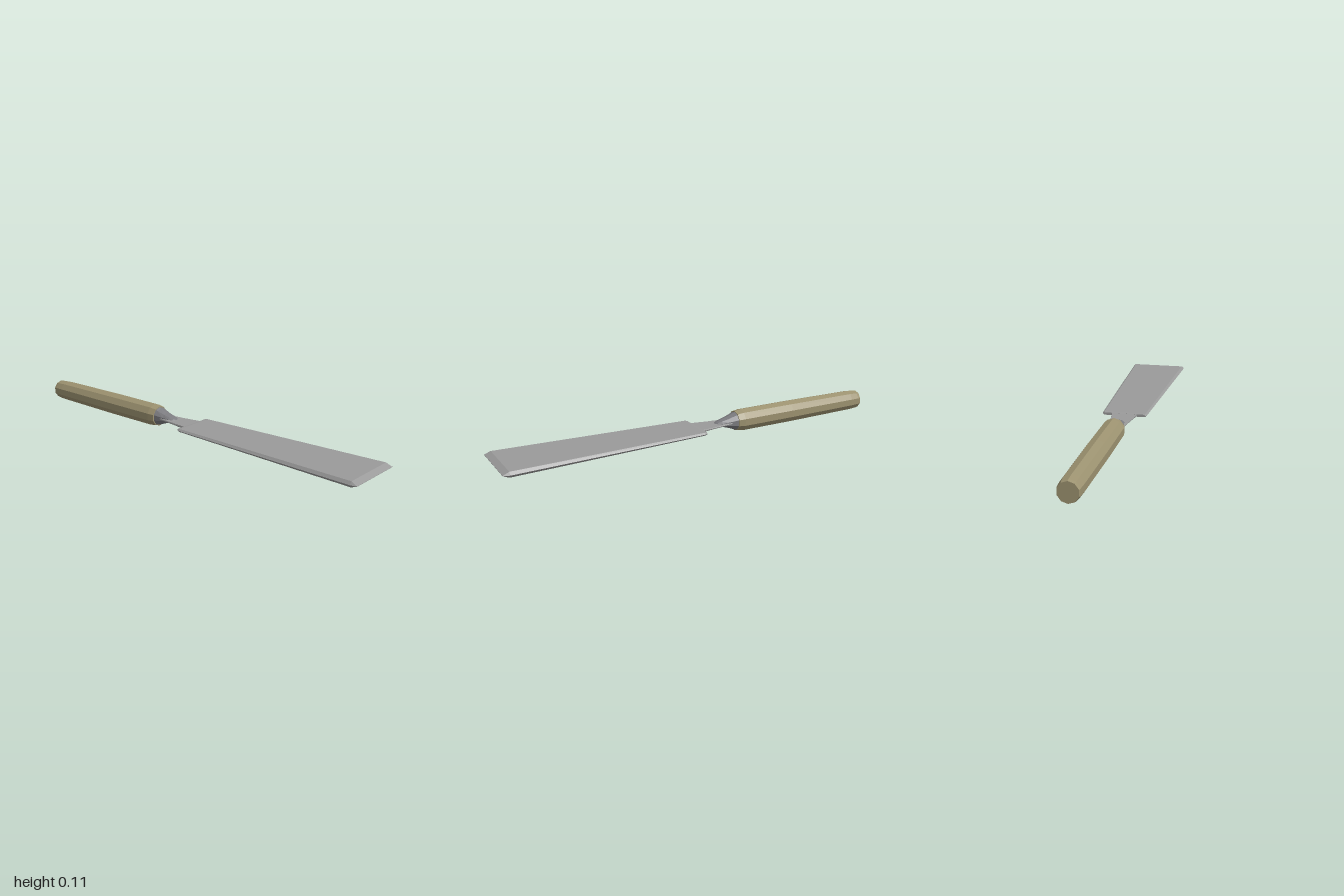
import * as THREE from 'three';

const AXIS_Y = 0.058;

// Skin a list of equal-length closed loops (arrays of [y, z]) placed along x, capped at both ends.
function loft(sections) {
  const n = sections[0].loop.length;
  const pos = [];
  const idx = [];
  for (const { x, loop } of sections) for (const [y, z] of loop) pos.push(x, y, z);
  for (let s = 0; s < sections.length - 1; s++) {
    for (let i = 0; i < n; i++) {
      const j = (i + 1) % n;
      const a = s * n + i, b = s * n + j, c = a + n, d = b + n;
      idx.push(a, b, d, a, d, c);
    }
  }
  const last = (sections.length - 1) * n;
  for (let i = 1; i < n - 1; i++) {
    idx.push(0, i + 1, i);
    idx.push(last, last + i, last + i + 1);
  }
  const indexed = new THREE.BufferGeometry();
  indexed.setAttribute('position', new THREE.Float32BufferAttribute(pos, 3));
  indexed.setIndex(idx);
  const geo = indexed.toNonIndexed();
  geo.computeVertexNormals();
  return geo;
}

// Ten-sided ring with a corner at the top.
function ring(x, ry, rz = ry) {
  const loop = [];
  for (let i = 0; i < 10; i++) {
    const a = (i / 10) * Math.PI * 2;
    loop.push([Math.cos(a) * ry, Math.sin(a) * rz]);
  }
  return { x, loop };
}

// Hexagonal blade section: flat faces, with both sides bevelled to an edge.
function bladeSection(x, flat, edge, t) {
  return { x, loop: [[t, -flat], [t, flat], [0, edge], [-t, flat], [-t, -flat], [0, -edge]] };
}

export function createModel() {
  const group = new THREE.Group();
  const olive = new THREE.MeshStandardMaterial({ color: 0x9c9270 });
  olive.name = 'olive wood';
  const steel = new THREE.MeshStandardMaterial({ color: 0x9a9a9a });
  steel.name = 'blade steel';
  const darkSteel = new THREE.MeshStandardMaterial({ color: 0x7c7c80 });
  darkSteel.name = 'ferrule steel';

  const add = (name, geometry, material) => {
    const mesh = new THREE.Mesh(geometry, material);
    mesh.name = name;
    mesh.position.y = AXIS_Y;
    group.add(mesh);
  };
  for (const m of [olive, steel, darkSteel]) m.flatShading = true;

  // Faceted handle, slightly swollen towards the blade
  add('handle', loft([
    ring(-1, 0.046), ring(-0.985, 0.049), ring(-0.94, 0.052),
    ring(-0.55, 0.056), ring(-0.26, 0.056), ring(-0.225, 0.0505),
  ]), olive);

  // Ferrule narrowing to a flattened, rounded tip
  add('ferrule', loft([
    ring(-0.23, 0.049, 0.047), ring(-0.215, 0.042, 0.044), ring(-0.175, 0.027, 0.036),
    ring(-0.14, 0.017, 0.031), ring(-0.12, 0.01, 0.023), ring(-0.108, 0.004, 0.01),
  ]), darkSteel);

  // Tang joining the ferrule to the blade
  add('tang', loft([
    bladeSection(-0.21, 0.034, 0.036, 0.004),
    bladeSection(-0.1, 0.047, 0.049, 0.004),
    bladeSection(0.01, 0.062, 0.064, 0.006),
  ]), steel);

  // Blade, widening and thickening up to the bevelled tip
  add('blade', loft([
    bladeSection(-0.008, 0.1, 0.105, 0.006),
    bladeSection(0.005, 0.103, 0.111, 0.0075),
    bladeSection(0.97, 0.14, 0.152, 0.0135),
  ]), steel);

  // Cutting edge
  add('cuttingEdge', loft([
    bladeSection(0.97, 0.14, 0.152, 0.0135),
    bladeSection(1, 0.142, 0.146, 0.0008),
  ]), steel);

  return group;
}
